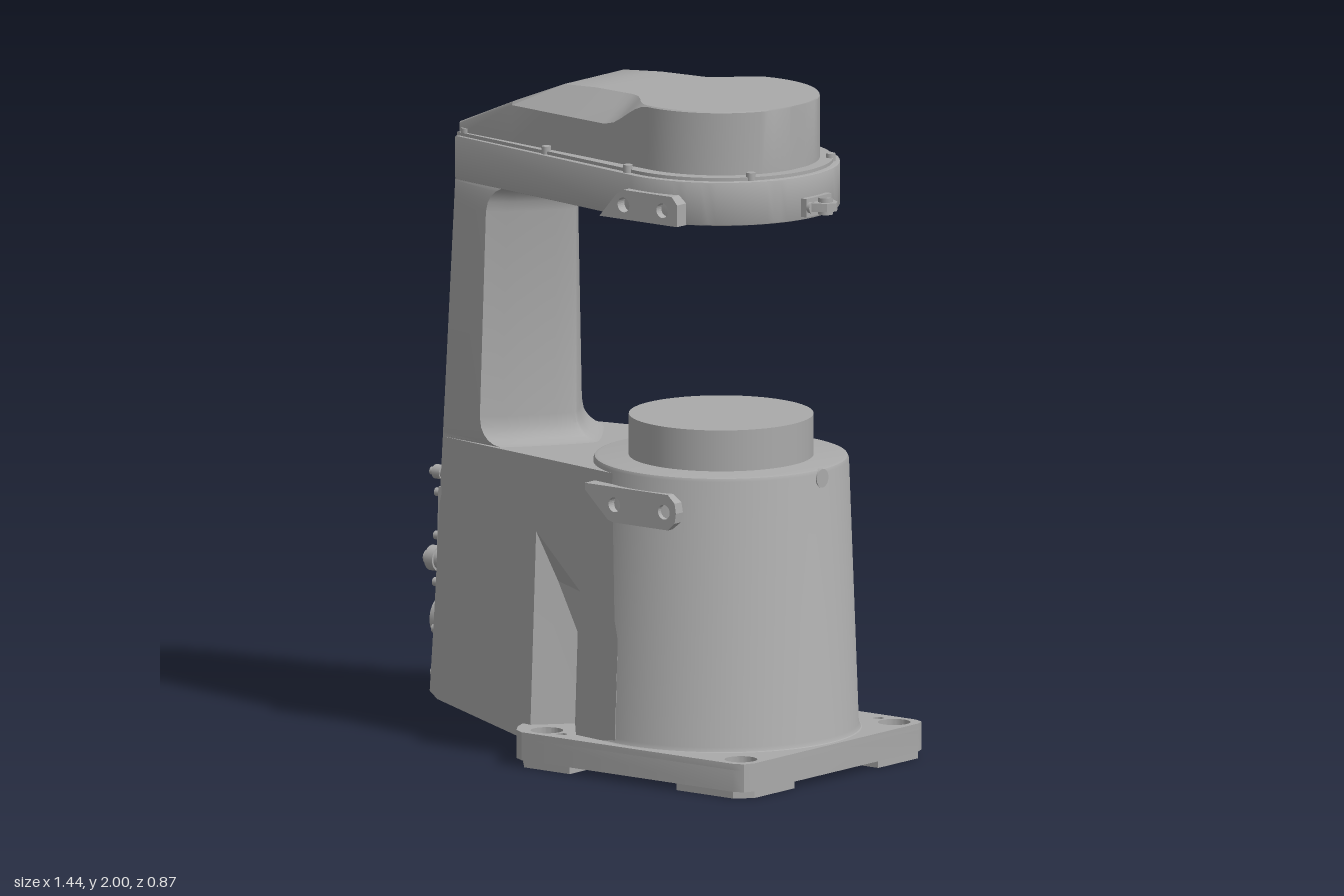
import * as THREE from 'three';
import { toCreasedNormals } from 'three/addons/utils/BufferGeometryUtils.js';

const grey = new THREE.MeshStandardMaterial({ color: 0xaaaaaa });
grey.name = 'grey paint';
const AX = 0.295; // main axis of pedestal and head

// Skin through rings that mirror about z = 0; the caps join mirrored points.
function loft(rings, crease = 0.5) {
  const pos = [], n = rings[0].length;
  const tri = (...p) => p.forEach((v) => pos.push(...v));
  for (let r = 0; r + 1 < rings.length; r++) {
    const A = rings[r], B = rings[r + 1];
    for (let i = 0; i < n; i++) {
      const j = (i + 1) % n;
      tri(A[i], B[i], B[j]);
      tri(A[i], B[j], A[j]);
    }
  }
  const lo = rings[0], hi = rings[rings.length - 1];
  for (let i = 0; i < n / 2 - 1; i++) {
    const j = n - 2 - i, k = n - 1 - i;
    tri(lo[i], lo[i + 1], lo[j]); tri(lo[i], lo[j], lo[k]);
    tri(hi[k], hi[j], hi[i + 1]); tri(hi[k], hi[i + 1], hi[i]);
  }
  const g = new THREE.BufferGeometry();
  g.setAttribute('position', new THREE.Float32BufferAttribute(pos, 3));
  return toCreasedNormals(g, crease);
}

// Full plan ring from its -z half, given as [x, halfWidth, y]
const mirrorRing = (half) => [
  ...half.map(([x, w, y]) => [x, y, -w]),
  ...half.slice().reverse().map(([x, w, y]) => [x, y, w]),
];

const polygon = (pts) => new THREE.Shape(pts.map(([x, y]) => new THREE.Vector2(x, y)));
function addHole(shape, x, y, r) {
  const p = new THREE.Path();
  p.absarc(x, y, r, 0, Math.PI * 2, true);
  shape.holes.push(p);
}
// Plan shape (x, z) extruded from y0 to y1
function slab(shape, y0, y1, bevel = 0) {
  const g = new THREE.ExtrudeGeometry(shape, {
    depth: y1 - y0 - bevel * 2, bevelEnabled: bevel > 0, bevelSize: bevel,
    bevelThickness: bevel, bevelOffset: -bevel, bevelSegments: 2, curveSegments: 28,
  });
  g.rotateX(Math.PI / 2).translate(0, y1 - bevel, 0);
  return toCreasedNormals(g, 0.5);
}

// Back edge and half width of the tapering body
const backX = (y) => -0.604 + 0.0275 * y;
const bodyW = (x, y) => 0.25 - 0.047 * y + 0.19 * (x + 0.6);

// Teardrop half width: straight sides tangent to a round nose
function dropW(x, r, back) {
  const s = (r - back) / (AX + 0.555), t = AX - r * s;
  if (x > t) return Math.sqrt(Math.max(r * r - (x - AX) ** 2, 1e-5));
  return r * Math.sqrt(1 - s * s) - (t - x) * (s / Math.sqrt(1 - s * s));
}
function dropShape(r, back) {
  const a = Math.PI / 2 + Math.asin((r - back) / (AX + 0.555));
  const s = new THREE.Shape();
  s.moveTo(-0.555, -dropW(-0.555, r, back));
  s.absarc(AX, 0, r, -a, a, false);
  s.lineTo(-0.555, dropW(-0.555, r, back));
  s.closePath();
  return s;
}

export function createModel() {
  const root = new THREE.Group();
  const add = (name, geo, parent = root) => {
    const m = new THREE.Mesh(geo, grey);
    m.name = name;
    parent.add(m);
    return m;
  };
  // Cylinder pointing along -x (dir -1) or +x, starting at x
  const stud = (name, x, y, z, r, len, dir = -1, parent = root) =>
    add(name, new THREE.CylinderGeometry(r, r, len, 20).rotateZ(Math.PI / 2)
      .translate(x + dir * len / 2, y, z), parent);

  // Base plate with counterbored bolt holes and a round opening below
  const baseOutline = () => polygon([[-0.19, -0.33], [-0.175, -0.37], [-0.145, -0.415], [-0.11, -0.435],
    [0.68, -0.435], [0.712, -0.422], [0.725, -0.39], [0.725, 0.39], [0.712, 0.422], [0.68, 0.435],
    [-0.11, 0.435], [-0.145, 0.415], [-0.175, 0.37], [-0.19, 0.33]]);
  [[0.02, 0.085, 0.03], [0.085, 0.104, 0.048]].forEach(([y0, y1, r], i) => {
    const s = baseOutline();
    for (const x of [-0.07, 0.655]) for (const z of [-0.365, 0.365]) addHole(s, x, z, r);
    addHole(s, 0.58, -0.385, 0.016);
    addHole(s, 0, 0.385, 0.016);
    if (!i) addHole(s, AX, 0, 0.36);
    add(i ? 'basePlateTop' : 'basePlate', slab(s, y0, y1));
  });
  // Corner feet
  for (const sx of [-1, 1]) for (const sz of [-1, 1]) {
    const c = sx < 0 ? [[0.37, 0.435], [0.455, 0.335]] : [[0.41, 0.435], [0.455, 0.39]];
    const pts = [[0.2, 0.435], ...c, [0.455, 0.2], [0.34, 0.2], [0.28, 0.28], [0.2, 0.34]];
    const s = polygon(pts.map(([x, z]) => [0.27 + sx * x, sz * z]));
    addHole(s, sx < 0 ? -0.07 : 0.655, sz * 0.365, 0.03);
    add('foot', slab(s, 0, 0.02));
  }

  // Round pedestal and its raised disc
  const profile = [[0.001, 0.035], [0.362, 0.035], [0.362, 0.1], [0.42, 0.1], [0.411, 0.106], [0.405, 0.118],
    [0.376, 0.908], [0.372, 0.917], [0.362, 0.92], [0.001, 0.92]].map(([r, y]) => new THREE.Vector2(r, y));
  add('pedestal', toCreasedNormals(new THREE.LatheGeometry(profile, 72), 0.5).translate(AX, 0, 0));
  add('disc', new THREE.CylinderGeometry(0.272, 0.272, 0.125, 64).translate(AX, 0.98, 0));
  stud('pedestalPlug', 0.64, 0.892, 0, 0.028, 0.034, 1);

  // Lower body, with a wedge notch on each side above the rear bolts
  const bottom = (x) => (x < -0.585 ? 0.14 : x < -0.2 ? 0.12 - (x + 0.57) * 0.16 : 0.06);
  const lowerRing = (y, ax, depth, rx) => mirrorRing(
    [[backX(y), 0], [backX(y), 0], [-0.57, 0], [-0.2, 0], [-0.16, 0], [ax, depth], [rx, 0], [0.21, 0]]
      .map(([x, d], i) => {
        const yy = y === 0 ? bottom(x) : y;
        return [x, i ? bodyW(x, yy) - d : bodyW(x, yy) * 0.96, yy];
      }));
  add('lowerBody', loft([
    lowerRing(0, -0.07, 0.115, 0.04), lowerRing(0.4, -0.07, 0.115, 0.04),
    lowerRing(0.53, -0.112, 0.06, 0.04), lowerRing(0.68, -0.159, 0, -0.158), lowerRing(0.9, -0.159, 0, -0.158),
  ], 0.2));

  // Upright column with a rounded nose that flares into body and head
  const columnRing = (y) => {
    const R = 0.08, t = Math.min(y - 0.9, 1.67 - y, R);
    const f = R - Math.sqrt(Math.max(R * R - (R - t) ** 2, 0));
    const w = bodyW(-0.42, y), half = [[backX(y), bodyW(backX(y), y), y], [-0.42 + f, w, y]];
    for (const [dx, k] of [[0.045, 0.8], [0.095, 0.52], [0.14, 0.25], [0.166, 0.06], [0.17, 0.01]])
      half.push([-0.42 + dx + f, w * k, y]);
    return mirrorRing(half);
  };
  const ys = [0, 0.004, 0.015, 0.03, 0.05, 0.08];
  add('column', loft([...ys.map((d) => 0.9 + d), ...ys.slice().reverse().map((d) => 1.67 - d)].map(columnRing), 0.45));

  // Head: lower tray, gasket lip and sloped cover
  add('headTray', slab(dropShape(0.35, 0.18), 1.67, 1.8, 0.004));
  add('headLip', slab(dropShape(0.33, 0.172), 1.798, 1.81));
  const xs = [-0.552, -0.33, -0.18, -0.05, 0.06, 0.1, 0.13, 0.16, 0.19, 0.22, 0.24, 0.27];
  for (let i = 0; i <= 20; i++) xs.push(AX + 0.288 * Math.sin((i / 20) * Math.PI / 2));
  const topY = (x) => Math.min(2, 1.84 + (x + 0.552) * 0.41);
  const inset = (x) => {
    if (x <= -0.33 || x >= 0.24) return 0.004;
    if (x < -0.18) return 0.004 + ((x + 0.33) / 0.15) * 0.076;
    if (x < 0.1) return 0.08 + (x + 0.18) * 0.05;
    return 0.004 + 0.09 * (0.5 + 0.5 * Math.cos(((x - 0.1) / 0.14) * Math.PI));
  };
  const shoulderY = (x) => {
    const k = THREE.MathUtils.smoothstep(x, 0.06, 0.24);
    return Math.min(topY(x) - 0.004, 1.92 + 0.076 * k);
  };
  add('headCover', loft(xs.map((x) => {
    const w = dropW(x, 0.29, 0.165), t = Math.max(w - inset(x), 0.001);
    return [[x, 1.8, w], [x, shoulderY(x), w], [x, topY(x), t], [x, topY(x), -t], [x, shoulderY(x), -w], [x, 1.8, -w]];
  }), 0.4));
  for (const s of [-1, 1]) for (const [x, z] of [[-0.53, 0.165], [-0.17, 0.24], [0.195, 0.317], [0.555, 0.19]])
    add('coverScrew', new THREE.CylinderGeometry(0.014, 0.014, 0.03, 14).translate(x, 1.808, s * z));
  // Segmented ring mark on the cover slope
  for (let i = 0; i < 3; i++) {
    const ring = new THREE.RingGeometry(0.086, 0.102, 16, 1, i * 2.094 + 0.2, 1.6).rotateX(-Math.PI / 2);
    add('ringMark', ring.rotateZ(Math.atan(0.41)).translate(-0.37, topY(-0.37) + 0.002, 0));
  }

  // Side pads with two bolt holes, on pedestal and head
  const pads = [
    ['pedestalPad', [[0.09, 0.868], [0.09, 0.848], [0.175, 0.768], [0.195, 0.762], [0.4, 0.762], [0.425, 0.785],
      [0.43, 0.815], [0.425, 0.845], [0.4, 0.868]], [0.2, 0.385], 0.815, 0.388],
    ['headPad', [[0.13, 1.67], [0.42, 1.67], [0.42, 1.735], [0.4, 1.758], [0.22, 1.758], [0.195, 1.745]],
      [0.22, 0.365], 1.713, 0.37],
  ];
  for (const [name, pts, holes, hy, z] of pads) for (const s of [-1, 1]) {
    const shape = polygon(pts);
    holes.forEach((x) => addHole(shape, x, hy, 0.022));
    const g = new THREE.ExtrudeGeometry(shape, { depth: 0.08, bevelEnabled: false });
    add(name, g.translate(0, 0, s > 0 ? z - 0.08 : -z));
  }

  // Lug at the nose of the head
  const lug = polygon([[0.62, -0.062], [0.655, -0.055], [0.71, -0.025], [0.725, 0], [0.71, 0.025], [0.655, 0.055], [0.62, 0.062]]);
  addHole(lug, 0.685, 0, 0.018);
  add('noseLug', slab(lug, 1.697, 1.722));
  add('noseLugPlate', new THREE.BoxGeometry(0.03, 0.055, 0.12).translate(0.645, 1.708, 0));
  for (const s of [-1, 1]) stud('noseLugScrew', 0.65, 1.708, s * 0.042, 0.017, 0.02, 1);
  add('noseLugBush', new THREE.CylinderGeometry(0.022, 0.022, 0.05, 16, 1, true).translate(0.685, 1.71, 0));

  // Rear service panel with screws
  const back = new THREE.Group();
  back.name = 'rearPanel';
  root.add(back);
  const tilt = -Math.atan(0.0275);
  add('panelPlate', new THREE.BoxGeometry(0.012, 0.58, 0.44).rotateZ(tilt).translate(backX(0.46), 0.46, 0), back);
  for (const s of [-1, 1]) for (const y of [0.19, 0.32, 0.46, 0.6, 0.73])
    stud('panelScrew', backX(y), y, s * 0.205, 0.013, 0.024, -1, back);

  // Connectors: flange, body and tip on each [y, z, radius, length]
  const plugs = [[0.33, 0.08, 0.075, 0.1], [0.37, -0.11, 0.042, 0.09], [0.51, 0.12, 0.042, 0.12], [0.51, -0.11, 0.034, 0.11],
    [0.645, 0.11, 0.03, 0.06], [0.645, -0.12, 0.03, 0.06], [0.77, -0.12, 0.024, 0.12], [0.77, 0, 0.024, 0.13], [0.77, 0.12, 0.024, 0.11]];
  for (const [y, z, r, len] of plugs) {
    const x = backX(y);
    stud('connectorFlange', x, y, z, r, len * 0.35, -1, back);
    stud('connectorBody', x, y, z, r * 0.75, len * 0.65, -1, back);
    stud('connectorCollar', x - len * 0.6, y, z, r * 0.9, len * 0.25, -1, back);
    stud('connectorTip', x, y, z, r * 0.5, len, -1, back);
  }
  add('socketBlock', new THREE.BoxGeometry(0.06, 0.07, 0.11).translate(backX(0.6) - 0.03, 0.6, 0), back);
  stud('groundStud', backX(0.18), 0.18, 0.1, 0.018, 0.045, -1, back);
  stud('columnStud', backX(1.02), 1.02, 0, 0.016, 0.022);

  // Rounded rear grip high on the column
  const grip = new THREE.Shape();
  grip.absarc(0.065, 0, 0.033, -Math.PI / 2, Math.PI / 2, false);
  grip.absarc(-0.065, 0, 0.033, Math.PI / 2, Math.PI * 1.5, false);
  const gripGeo = new THREE.ExtrudeGeometry(grip, { depth: 0.055, bevelEnabled: false });
  add('rearGrip', toCreasedNormals(gripGeo.rotateY(-Math.PI / 2), 0.5).translate(-0.555, 1.535, 0));

  return root;
}
